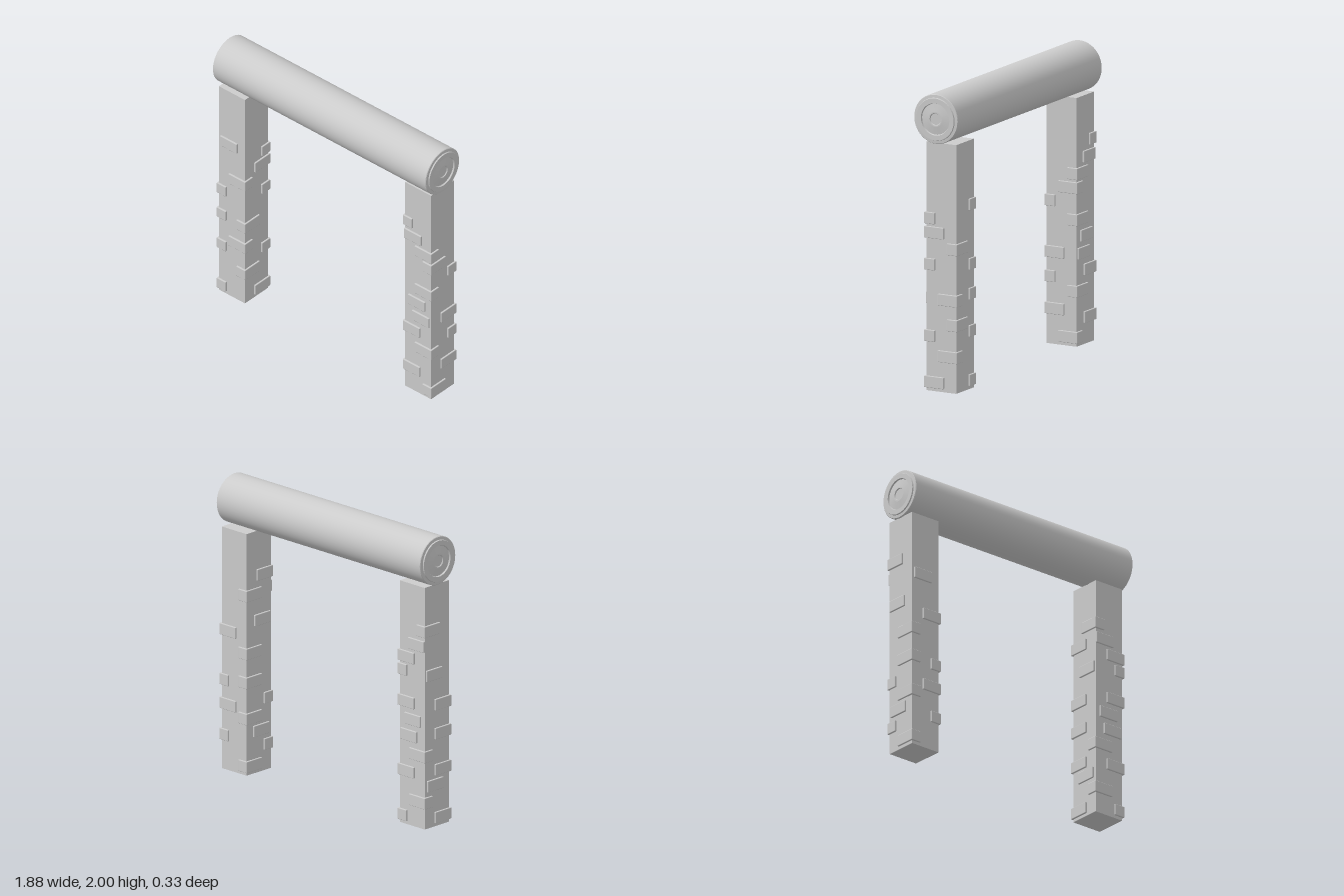
import * as THREE from 'three';
import { RoundedBoxGeometry } from 'three/addons/geometries/RoundedBoxGeometry.js';

const mat = new THREE.MeshStandardMaterial({ color: 0xcccccc });
const HALF = 0.1135, POST_H = 1.67;        // post half width and height
const OUT = 0.012, DEEP = 0.012;           // how far a brick stands out and sinks in
const LONG = 0.148, SHORT = 0.08, BRICK_H = 0.078;

function brick(name, w, d, x, y, z) {
  const mesh = new THREE.Mesh(new RoundedBoxGeometry(w, BRICK_H, d, 1, 0.004), mat);
  mesh.name = name;
  mesh.position.set(x, y, z);
  return mesh;
}

// brick on a front or back face, centred at x
const onZ = (y, side, x, len) =>
  brick('faceBrick', len, OUT + DEEP, x, y, side * (HALF + (OUT - DEEP) / 2));
// brick on a left or right face, centred at z
const onX = (y, side, z, len) =>
  brick('faceBrick', OUT + DEEP, len, side * (HALF + (OUT - DEEP) / 2), y, z);

// brick wrapped around a corner, long on one face and short on the other
function cornerBrick(y, sx, sz, longOnZ) {
  const g = new THREE.Group();
  g.name = 'cornerBrick';
  const a = longOnZ ? LONG : SHORT, b = longOnZ ? SHORT : LONG;
  g.add(onZ(y, sz, sx * (HALF + OUT - a / 2), a), onX(y, sx, sz * (HALF + OUT - b / 2), b));
  return g;
}

// square post with bricks; m = -1 swaps its front and back
function post(name, m) {
  const g = new THREE.Group();
  g.name = name;
  const shaft = new THREE.Mesh(new THREE.BoxGeometry(HALF * 2, POST_H, HALF * 2), mat);
  shaft.name = 'shaft';
  shaft.position.y = POST_H / 2;
  g.add(shaft);

  // corners: x side, z side, then [height, long on the z face]
  const corners = [
    [1, 1, [[1.16, true], [1.065, false], [0.85, true], [0.37, true], [0.06, false]]],
    [1, -1, [[0.965, true], [0.62, false], [0.455, true], [0.24, false]]],
    [-1, 1, [[1.365, false], [0.5, true], [0.18, true]]],
    [-1, -1, [[0.84, false], [0.64, false], [0.39, false], [0.06, false]]],
  ];
  for (const [sx, sz, list] of corners)
    for (const [y, longOnZ] of list) g.add(cornerBrick(y, sx, sz * m, longOnZ));

  // single bricks on the faces
  g.add(onZ(1.26, m, -0.04, LONG), onZ(0.735, m, -0.007, LONG), onZ(0.62, m, 0.028, LONG));
  g.add(onX(1.055, -1, 0.03 * m, LONG), onX(0.29, -1, 0.02 * m, LONG));
  return g;
}

// round beam with stepped rings on both ends
function beam() {
  const R = 0.1665, L = 0.932;
  const end = [[0, 0.002], [0.038, 0.002], [0.042, 0.008], [0.05, 0.008], [0.104, 0],
    [0.108, 0.01], [0.141, 0.01], [0.144, 0.002], [0.163, 0], [R, -0.004]];
  const g = new THREE.Group();
  g.name = 'beam';
  const body = new THREE.Mesh(new THREE.CylinderGeometry(R, R, 2 * L - 0.008, 48, 1, true), mat);
  body.name = 'beamBody';
  body.rotation.z = Math.PI / 2;
  g.add(body);
  for (const s of [1, -1]) {
    const pts = end.map(([r, h]) => new THREE.Vector2(r, h)).reverse();
    const geo = new THREE.LatheGeometry(pts, 48).toNonIndexed();
    geo.computeVertexNormals();
    const cap = new THREE.Mesh(geo, mat);
    cap.name = s > 0 ? 'leftEndRings' : 'rightEndRings';
    cap.rotation.z = -s * Math.PI / 2;
    cap.position.x = s * L;
    g.add(cap);
  }
  g.position.set(-0.004, 2 - R, 0);
  return g;
}

export function createModel() {
  const model = new THREE.Group();
  model.name = 'gateway';
  const left = post('leftPost', 1);
  left.position.set(0.79, 0, -0.027);
  left.add(cornerBrick(1.24, -1, -1, false));
  const right = post('rightPost', -1);
  right.position.set(-0.812, 0, 0.001);
  right.add(onZ(1.24, 1, -0.023, LONG));
  model.add(left, right, beam());
  return model;
}
